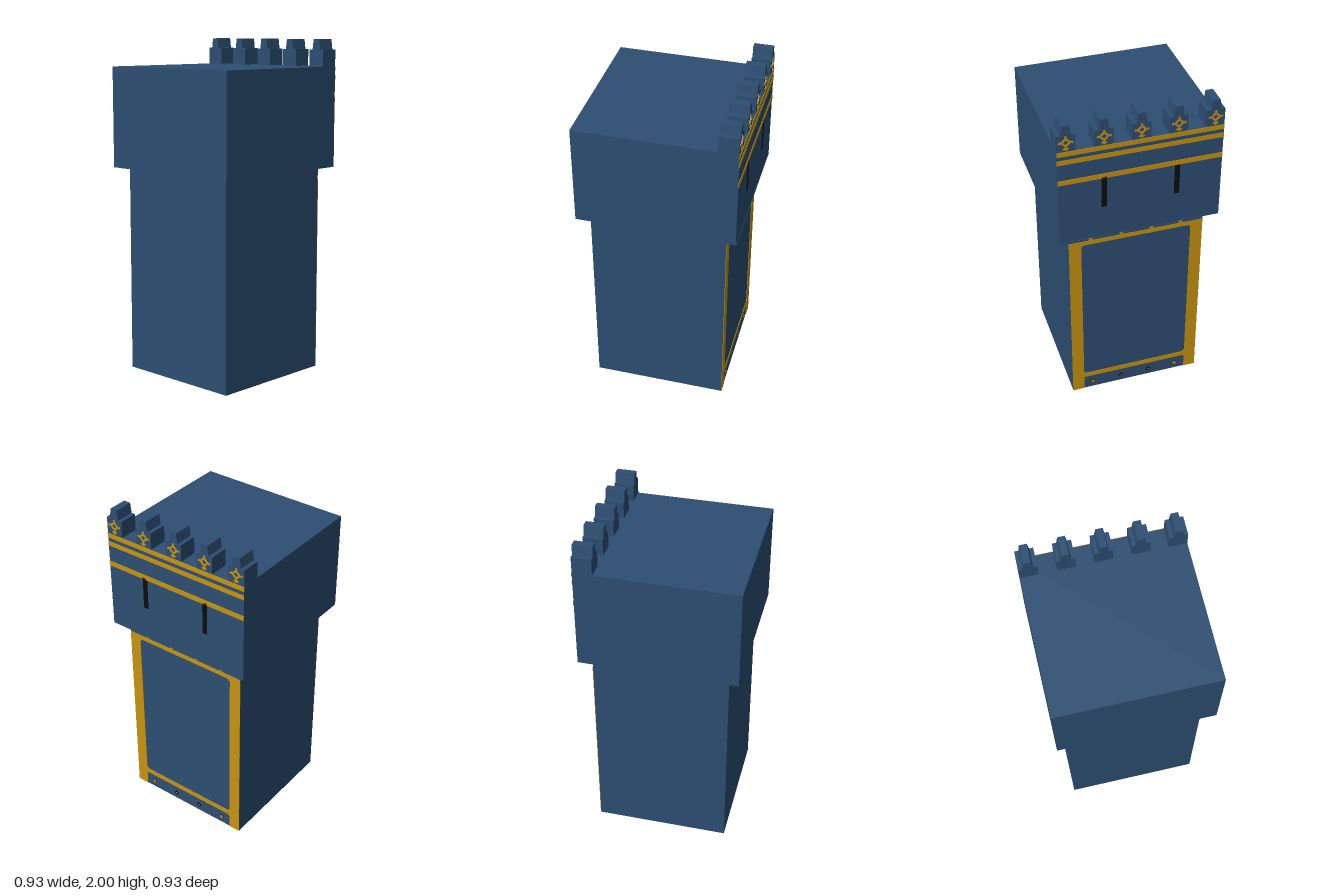
import * as THREE from 'three';

const blue = new THREE.MeshStandardMaterial({ color: 0x2c4e73 });
blue.name = 'slate blue';
const gold = new THREE.MeshStandardMaterial({ color: 0xc8940f });
gold.name = 'gold';
const black = new THREE.MeshStandardMaterial({ color: 0x0c0c0c });
black.name = 'black';

const LOWER = 0.4, UPPER = 0.467, THIN = 0.003;

// Shapes for the decorated +x face are drawn in (u, y), where u = -z
const poly = (pts) => new THREE.Shape(pts.map(([u, y]) => new THREE.Vector2(u, y)));
const rect = (u0, y0, u1, y1) => poly([[u0, y0], [u1, y0], [u1, y1], [u0, y1]]);
const diamond = (u, y, w, h = w) => poly([[u - w, y], [u, y - h], [u + w, y], [u, y + h]]);

export function createModel() {
  const model = new THREE.Group();

  const add = (parent, name, geometry, material) => {
    const mesh = new THREE.Mesh(geometry, material);
    mesh.name = name;
    parent.add(mesh);
    return mesh;
  };
  // Extrude a (u, y) shape along x, from x0 to x1
  const slab = (parent, name, shapes, x0, x1, material) => {
    const g = new THREE.ExtrudeGeometry(shapes, { depth: x1 - x0, bevelEnabled: false });
    g.rotateY(Math.PI / 2).translate(x0, 0, 0);
    return add(parent, name, g, material);
  };
  const plate = (name, shapes, x, material) => slab(model, name, shapes, x - THIN, x, material);

  // Shaft and wider head
  slab(model, 'shaft', rect(-LOWER, 0, LOWER, 1.235), -LOWER, LOWER - THIN, blue);
  slab(model, 'head', rect(-UPPER, 1.24, UPPER, 1.84), -UPPER, UPPER - THIN, blue);

  // Shallow sloping underside of the head
  let slope = new THREE.CylinderGeometry(UPPER * Math.SQRT2, LOWER * Math.SQRT2, 0.012, 4);
  slope = slope.rotateY(Math.PI / 4).translate(0, 1.234, 0).toNonIndexed();
  slope.computeVertexNormals();
  add(model, 'headUnderside', slope, blue);

  // Gold frame around the large panel, open at the base
  const frame = poly([
    [-LOWER, 0], [-0.328, 0], [-0.328, 0.085], [-0.318, 0.095], [0.318, 0.095],
    [0.328, 0.085], [0.328, 0], [LOWER, 0], [LOWER, 1.167], [-LOWER, 1.167],
  ]);
  const c = 0.015, w = 0.328, b = 0.127, t = 1.14;
  frame.holes.push(poly([
    [-w + c, b], [-w, b + c], [-w, t - c], [-w + c, t],
    [w - c, t], [w, t - c], [w, b + c], [w - c, b],
  ]));
  plate('panelFrame', frame, LOWER, gold);
  plate('shaftTopBand', rect(-LOWER, 1.21, LOWER, 1.23), LOWER, gold);

  // Small ornaments in the frieze and along the base
  [-0.27, -0.09, 0.09, 0.265].forEach((u, i) => {
    plate('friezeOrnament', [
      diamond(u, 1.2, 0.016, 0.009),
      diamond(u, 1.177, 0.013, 0.009),
      rect(u - 0.004, 1.168, u + 0.004, 1.208),
    ], LOWER, gold);
    const outer = i === 0 || i === 3;
    plate('baseStudRim', diamond(u, 0.044, 0.017), LOWER - 0.001, black);
    plate('baseStud', diamond(u, 0.044, outer ? 0.014 : 0.007), LOWER, gold);
  });

  // Gold string courses on the head
  for (const [y0, y1] of [[1.63, 1.66], [1.76, 1.788], [1.812, 1.84]]) {
    plate('stringCourse', rect(-UPPER, y0, UPPER, y1), UPPER, gold);
  }

  // Arrow slits
  for (const u of [-0.21, 0.207]) {
    plate('arrowSlit', rect(u - 0.015, 1.44, u + 0.015, 1.64), UPPER, black);
  }

  // Five stepped merlons with a gold lozenge ornament on each
  for (let i = 0; i < 5; i++) {
    const u = -0.415 + i * 0.2075;
    const half = [[0.052, 1.835], [0.052, 1.94], [0.029, 1.94], [0.021, 2]];
    const outline = [
      ...half.map(([x, y]) => [u + x, y]),
      ...half.map(([x, y]) => [u - x, y]).reverse(),
    ];
    const merlon = new THREE.Group();
    merlon.name = 'merlon';
    model.add(merlon);
    slab(merlon, 'merlonBlock', poly(outline), 0.35, UPPER - THIN, blue);

    const ring = diamond(u, 1.897, 0.031);
    ring.holes.push(diamond(u, 1.897, 0.015));
    slab(merlon, 'merlonOrnament', [
      ring,
      diamond(u - 0.034, 1.897, 0.009),
      diamond(u + 0.034, 1.897, 0.009),
      diamond(u, 1.93, 0.008),
      diamond(u, 1.858, 0.018, 0.012),
    ], UPPER - THIN, UPPER, gold);
  }

  return model;
}
